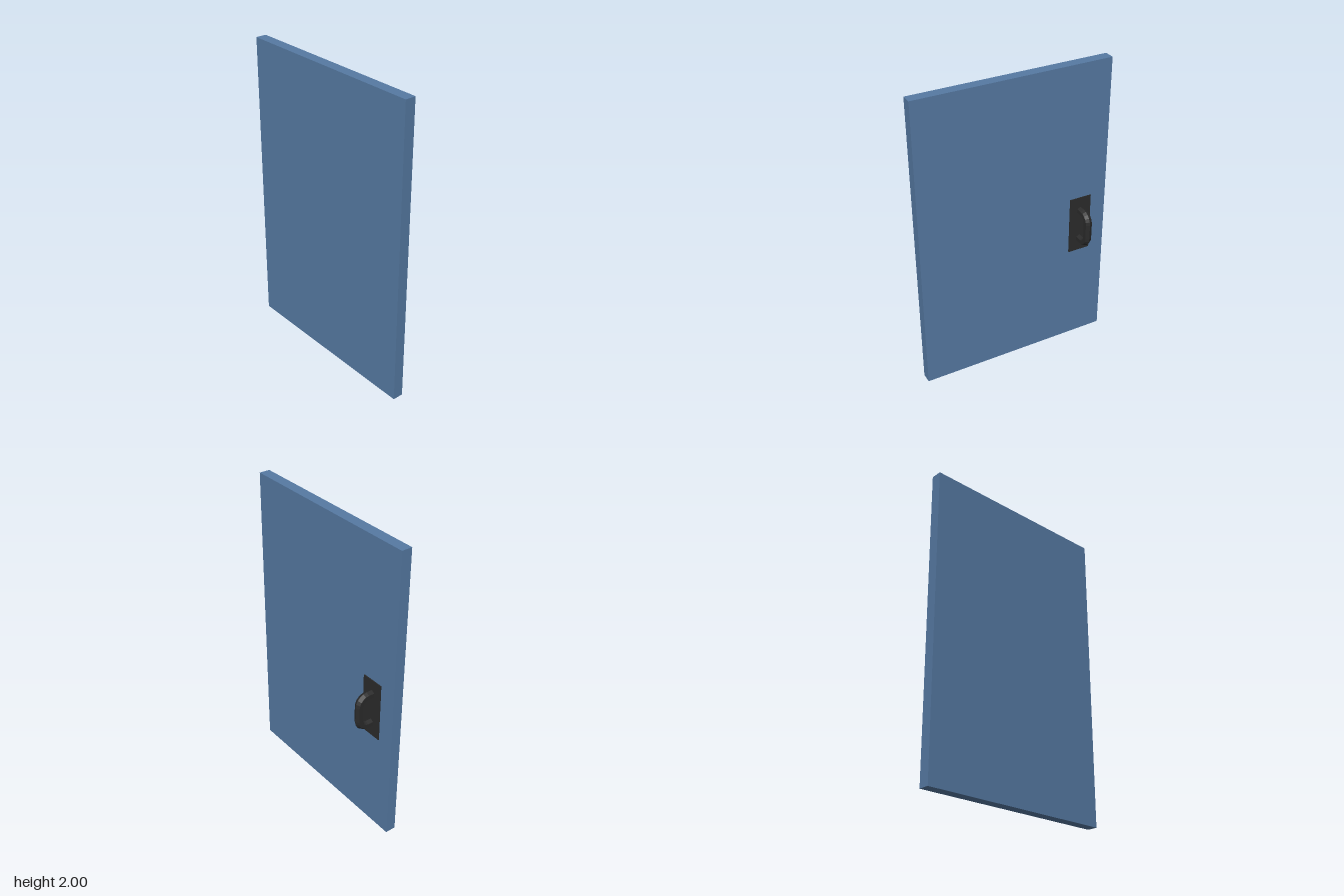
import * as THREE from 'three';

const blue = new THREE.MeshStandardMaterial({ color: 0x567aa3 });
blue.name = 'door blue';
const black = new THREE.MeshStandardMaterial({ color: 0x2b2b2b });
black.name = 'handle black';
black.flatShading = true;

function box(name, material, [x0, x1], [y0, y1], [z0, z1]) {
  const mesh = new THREE.Mesh(new THREE.BoxGeometry(x1 - x0, y1 - y0, z1 - z0), material);
  mesh.position.set((x0 + x1) / 2, (y0 + y1) / 2, (z0 + z1) / 2);
  mesh.name = name;
  return mesh;
}

// Hexagonal bar swept along a D-shaped path in the xy plane
function pullGeometry() {
  const sides = 6, barRadius = 0.026, bend = 0.055, steps = 5;
  const bendX = 0.016, topY = 0.933, bottomY = 0.832, rootX = -0.028;
  const stations = [{ x: rootX, y: topY + bend, a: Math.PI / 2 }];
  for (const [cy, start] of [[topY, Math.PI / 2], [bottomY, 0]]) {
    for (let k = 0; k <= steps; k++) {
      const a = start - (k / steps) * Math.PI / 2;
      stations.push({ x: bendX + bend * Math.cos(a), y: cy + bend * Math.sin(a), a });
    }
  }
  stations.push({ x: rootX, y: bottomY - bend, a: -Math.PI / 2 });

  const positions = [], index = [];
  stations.forEach(({ x, y, a }, i) => {
    for (let j = 0; j < sides; j++) {
      const phi = (j / sides) * Math.PI * 2;
      const out = barRadius * Math.cos(phi);
      positions.push(x + out * Math.cos(a), y + out * Math.sin(a), barRadius * Math.sin(phi));
      if (i === stations.length - 1) continue;
      const p = i * sides + j, q = i * sides + (j + 1) % sides;
      index.push(p, q, p + sides, q, q + sides, p + sides);
    }
  });
  const geometry = new THREE.BufferGeometry();
  geometry.setAttribute('position', new THREE.Float32BufferAttribute(positions, 3));
  geometry.setIndex(index);
  geometry.computeVertexNormals();
  return geometry;
}

export function createModel() {
  const door = new THREE.Group();
  door.name = 'door';
  door.add(box('doorPanel', blue, [-0.1, -0.03], [0, 2], [-0.655, 0.655]));

  // Pull handle on its backing plate
  const handle = new THREE.Group();
  handle.name = 'handle';
  handle.add(box('backPlate', black, [-0.03, -0.024], [0.685, 1.082], [-0.545, -0.392]));
  const pull = new THREE.Mesh(pullGeometry(), black);
  pull.name = 'pullBar';
  pull.position.z = -0.469;
  handle.add(pull);
  door.add(handle);
  return door;
}
